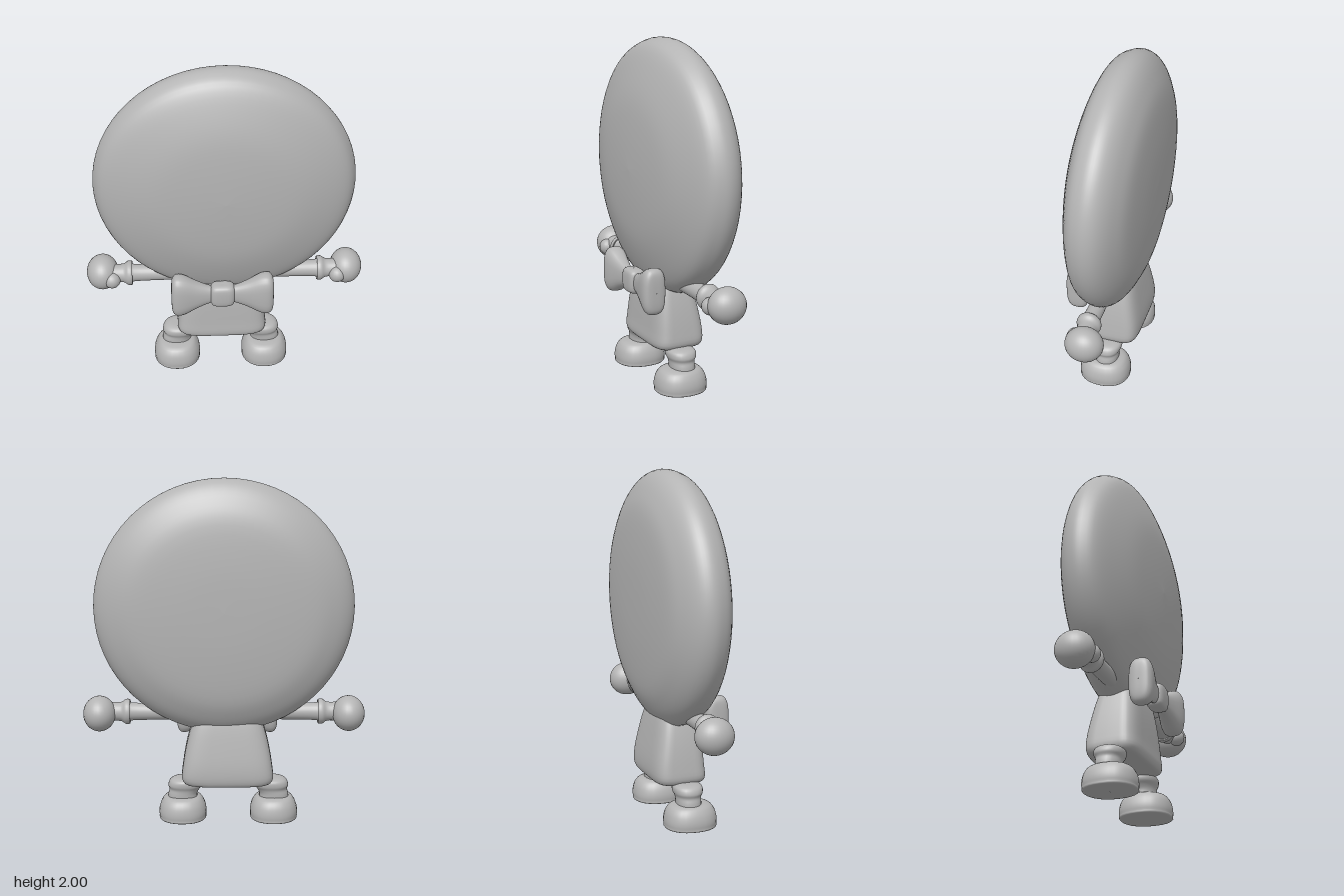
import * as THREE from 'three';

const clay = new THREE.MeshStandardMaterial({ color: 0xb4b4b4 });
clay.name = 'clay grey';
const MID = -0.02; // centre line of the body

// Smooth loft up the y axis through superellipse sections [y, cx, cz, rx, rz, power]
function loft(sections, sides = 28, steps = 4) {
  const pos = [], idx = [];
  const rows = (sections.length - 1) * steps;
  const sample = (t) => {
    const i = Math.min(Math.floor(t), sections.length - 2), f = t - i;
    const at = (k) => sections[Math.max(0, Math.min(sections.length - 1, k))];
    return sections[0].map((_, c) => {
      const a = at(i)[c], b = at(i + 1)[c];
      const m0 = (b - at(i - 1)[c]) / 2, m1 = (at(i + 2)[c] - a) / 2;
      const f2 = f * f, f3 = f2 * f;
      return (2 * f3 - 3 * f2 + 1) * a + (f3 - 2 * f2 + f) * m0 + (3 * f2 - 2 * f3) * b + (f3 - f2) * m1;
    });
  };
  for (let i = 0; i <= rows; i++) {
    const [y, cx, cz, rx, rz, n] = sample(i / steps);
    for (let j = 0; j < sides; j++) {
      const a = (j / sides) * Math.PI * 2, c = Math.cos(a), s = Math.sin(a);
      pos.push(cx + rx * Math.sign(c) * Math.abs(c) ** (2 / n), y, cz + rz * Math.sign(s) * Math.abs(s) ** (2 / n));
      if (i < rows) {
        const p = i * sides + j, q = i * sides + (j + 1) % sides;
        idx.push(p, p + sides, q, q, p + sides, q + sides);
      }
    }
  }
  const g = new THREE.BufferGeometry();
  g.setAttribute('position', new THREE.Float32BufferAttribute(pos, 3));
  g.setIndex(idx);
  g.computeVertexNormals();
  return g;
}

function add(parent, name, geometry, x = 0, y = 0, z = 0) {
  const mesh = new THREE.Mesh(geometry, clay);
  mesh.name = name;
  mesh.position.set(x, y, z);
  parent.add(mesh);
  return mesh;
}

export function createModel() {
  const model = new THREE.Group();
  model.name = 'discHeadFigure';

  // Big lens-shaped head, fuller at the back
  const profile = new THREE.SplineCurve([
    [0, -0.238], [0.25, -0.233], [0.5, -0.21], [0.63, -0.165], [0.71, -0.11], [0.742, -0.05],
    [0.735, 0.01], [0.69, 0.075], [0.57, 0.13], [0.4, 0.178], [0.2, 0.2], [0, 0.208],
  ].map(([r, z]) => new THREE.Vector2(r, z))).getPoints(44);
  profile.forEach((p) => { p.x = Math.max(0, p.x); });
  const headGeo = new THREE.LatheGeometry(profile, 64);
  headGeo.rotateX(Math.PI / 2);
  add(model, 'head', headGeo, 0, 1.27, 0).scale.y = 0.984;

  // Boxy tunic body, flaring downwards
  add(model, 'body', loft([
    [0.225, 0, -0.025, 0.001, 0.001, 3],
    [0.228, 0, -0.025, 0.2, 0.115, 4],
    [0.255, 0, -0.025, 0.262, 0.15, 5],
    [0.34, 0, -0.028, 0.26, 0.15, 5],
    [0.48, 0, -0.022, 0.235, 0.135, 4.5],
    [0.6, 0, -0.018, 0.2, 0.115, 4],
    [0.68, 0, -0.018, 0.16, 0.09, 3],
  ], 48), MID, 0, 0);

  // Bow tie wing, running outwards along the axis
  const wing = loft([
    [0.03, 0, 0, 0.05, 0.03, 2.5],
    [0.08, 0, 0, 0.06, 0.035, 2.5],
    [0.15, 0, 0, 0.09, 0.05, 2.6],
    [0.22, 0, 0, 0.128, 0.066, 2.8],
    [0.265, 0, 0, 0.135, 0.068, 3],
    [0.29, 0, 0, 0.115, 0.055, 3],
    [0.298, 0, 0, 0.07, 0.03, 3],
    [0.299, 0, 0, 0.001, 0.001, 3],
  ]);
  const bow = new THREE.Group();
  bow.name = 'bowTie';
  bow.position.set(MID, 0.61, 0.168);
  model.add(bow);
  add(bow, 'bowKnot', loft([
    [-0.072, 0, 0, 0.001, 0.001, 3],
    [-0.07, 0, 0, 0.045, 0.03, 3],
    [-0.045, 0, 0, 0.07, 0.05, 3.5],
    [0.045, 0, 0, 0.07, 0.05, 3.5],
    [0.07, 0, 0, 0.045, 0.03, 3],
    [0.072, 0, 0, 0.001, 0.001, 3],
  ]));

  // Arm widening into a flared cuff
  const arm = loft([
    [0.1, 0, 0, 0.045, 0.045, 2],
    [0.3, 0, 0, 0.047, 0.047, 2],
    [0.535, 0, 0, 0.052, 0.05, 2],
    [0.545, 0, 0, 0.07, 0.068, 2],
    [0.57, 0, 0, 0.073, 0.07, 2],
    [0.6, 0, 0, 0.055, 0.055, 2],
    [0.66, 0, 0, 0.055, 0.055, 2],
  ]);

  // Leg cuff and chunky round shoe
  const leg = loft([
    [0.1, 0, -0.01, 0.09, 0.07, 2.2],
    [0.15, 0, -0.01, 0.085, 0.07, 2.2],
    [0.18, 0.01, -0.01, 0.088, 0.072, 2.2],
    [0.205, 0.015, -0.01, 0.1, 0.082, 2.3],
    [0.235, 0.02, -0.01, 0.092, 0.08, 2.3],
    [0.25, 0.022, -0.01, 0.06, 0.05, 2.2],
    [0.251, 0.022, -0.01, 0.001, 0.001, 2.2],
  ]);
  const shoe = loft([
    [0, 0, 0, 0.001, 0.001, 2.2],
    [0, 0, 0, 0.125, 0.135, 2.2],
    [0.02, 0, 0, 0.138, 0.149, 2.3],
    [0.06, 0, 0, 0.138, 0.149, 2.3],
    [0.105, 0, 0, 0.122, 0.135, 2.3],
    [0.135, 0, 0, 0.09, 0.1, 2.2],
    [0.143, 0, 0, 0.001, 0.001, 2.2],
  ]);

  for (const side of [-1, 1]) {
    const label = side > 0 ? 'left' : 'right';
    const turn = -side * Math.PI / 2;
    add(bow, label + 'BowWing', wing.clone().rotateZ(turn));
    add(model, label + 'Arm', arm.clone().rotateZ(turn), 0, 0.647, -0.005);
    add(model, label + 'Hand', new THREE.SphereGeometry(1, 28, 20), side * 0.722, 0.642, -0.03).scale.set(0.094, 0.103, 0.11);
    add(model, label + 'Thumb', new THREE.SphereGeometry(0.05, 18, 12), side * 0.665, 0.632, 0.04);
    const x = MID - 0.005 + side * 0.268;
    add(model, label + 'Shoe', shoe, x, 0, 0);
    // The leg leans inwards, so the far side is turned around
    add(model, label + 'Leg', side < 0 ? leg : leg.clone().rotateY(Math.PI).translate(0, 0, -0.02), x, 0, 0);
  }
  return model;
}
